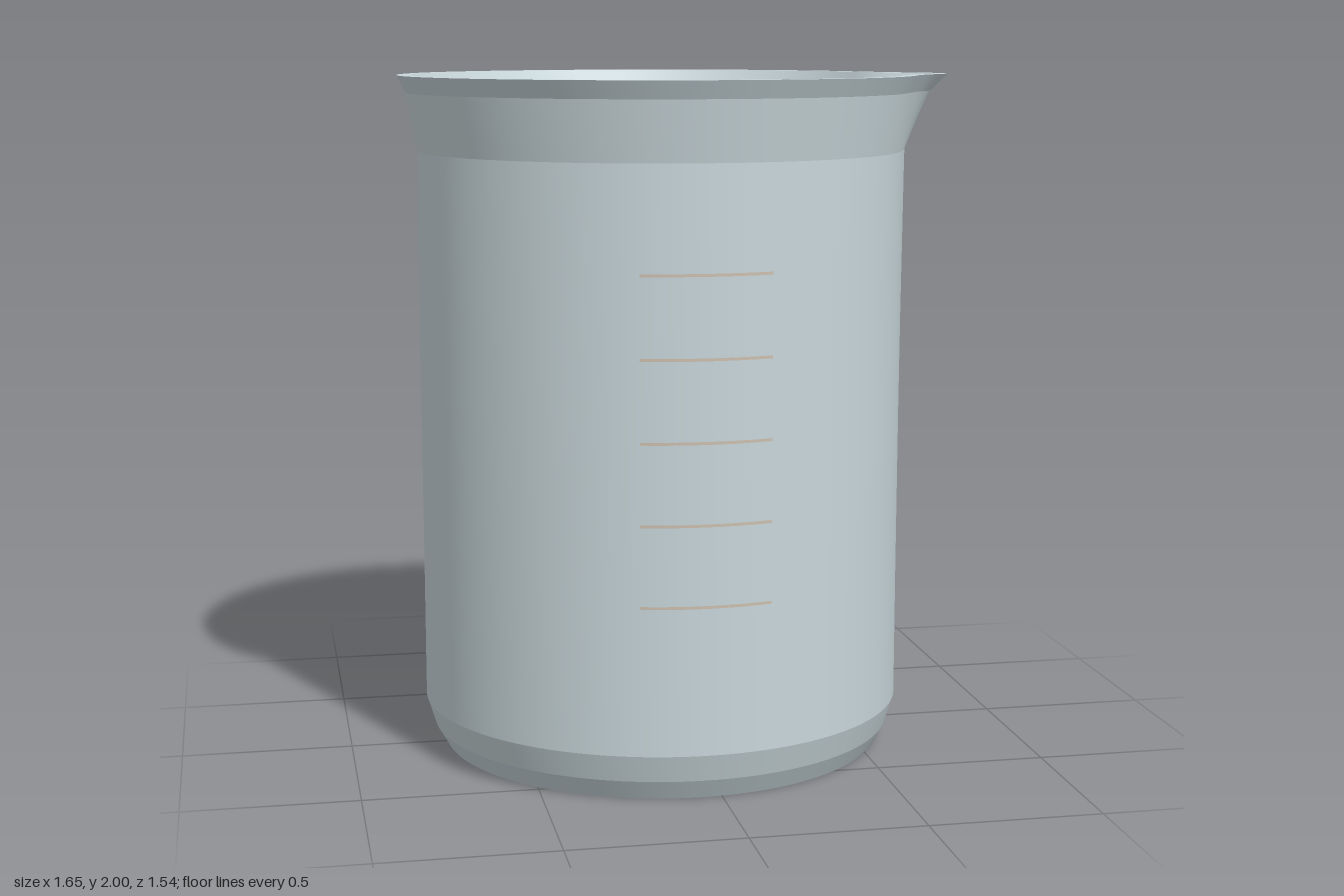
import * as THREE from 'three';
import { mergeGeometries, mergeVertices } from 'three/addons/utils/BufferGeometryUtils.js';

const AXIS_X = -0.055; // the spout pushes the round body off centre

// Profile of the glass, from under the base, up the outside, over the rim and down to the floor:
// radius, height, how far the spout is pulled out
const PROFILE = [
  [0, 0, 0], [0.655, 0, 0], [0.69, 0.06, 0], [0.715, 0.14, 0],
  [0.715, 1.78, 0.027], [0.745, 1.95, 0.08], [0.77, 2, 0.11],
  [0.73, 2, 0.11], [0.705, 1.95, 0.08], [0.675, 1.78, 0.027],
  [0.675, 0.14, 0], [0.645, 0.06, 0], [0, 0.06, 0],
];

// Outward pull around the rim: a narrow lip with slight hollows beside it
function spoutShape(angle) {
  return 1.18 * Math.exp(-((angle / 0.2) ** 2)) - 0.18 * Math.exp(-((angle / 0.5) ** 2));
}

// One band of the glass, smooth around but sharp against its neighbours
function band([r0, y0, pull0], [r1, y1, pull1]) {
  const geo = new THREE.LatheGeometry([new THREE.Vector2(r0, y0), new THREE.Vector2(r1, y1)], 128);
  const pos = geo.attributes.position;
  for (let i = 0; i < pos.count; i++) {
    const x = pos.getX(i), z = pos.getZ(i);
    const pull = i % 2 === 0 ? pull0 : pull1;
    const angle = Math.atan2(z, x);
    const push = pull * spoutShape(angle);
    pos.setX(i, x + push * Math.cos(angle));
    pos.setZ(i, z + push * Math.sin(angle));
  }
  geo.deleteAttribute('uv');
  geo.deleteAttribute('normal');
  const welded = mergeVertices(geo, 1e-5);
  welded.computeVertexNormals();
  return welded;
}

export function createModel() {
  const beaker = new THREE.Group();
  beaker.name = 'beaker';
  beaker.position.x = AXIS_X;

  // Glass body with flared rim and pouring spout
  const bands = PROFILE.slice(1).map((point, i) => band(PROFILE[i], point));
  const glass = new THREE.Mesh(
    mergeGeometries(bands),
    new THREE.MeshStandardMaterial({ color: 0xc8d6da }),
  );
  glass.name = 'glassBody';
  beaker.add(glass);

  // Graduation lines curved around the front
  const markMaterial = new THREE.MeshStandardMaterial({ color: 0xcdbfae, side: THREE.DoubleSide });
  const halfArc = 0.26;
  const markGeo = new THREE.CylinderGeometry(0.718, 0.718, 0.008, 16, 1, true, -halfArc, 2 * halfArc);
  for (let i = 0; i < 5; i++) {
    const mark = new THREE.Mesh(markGeo, markMaterial);
    mark.name = 'graduationLine' + (i + 1);
    mark.position.y = 0.565 + i * 0.229;
    beaker.add(mark);
  }

  const model = new THREE.Group();
  model.add(beaker);
  return model;
}
